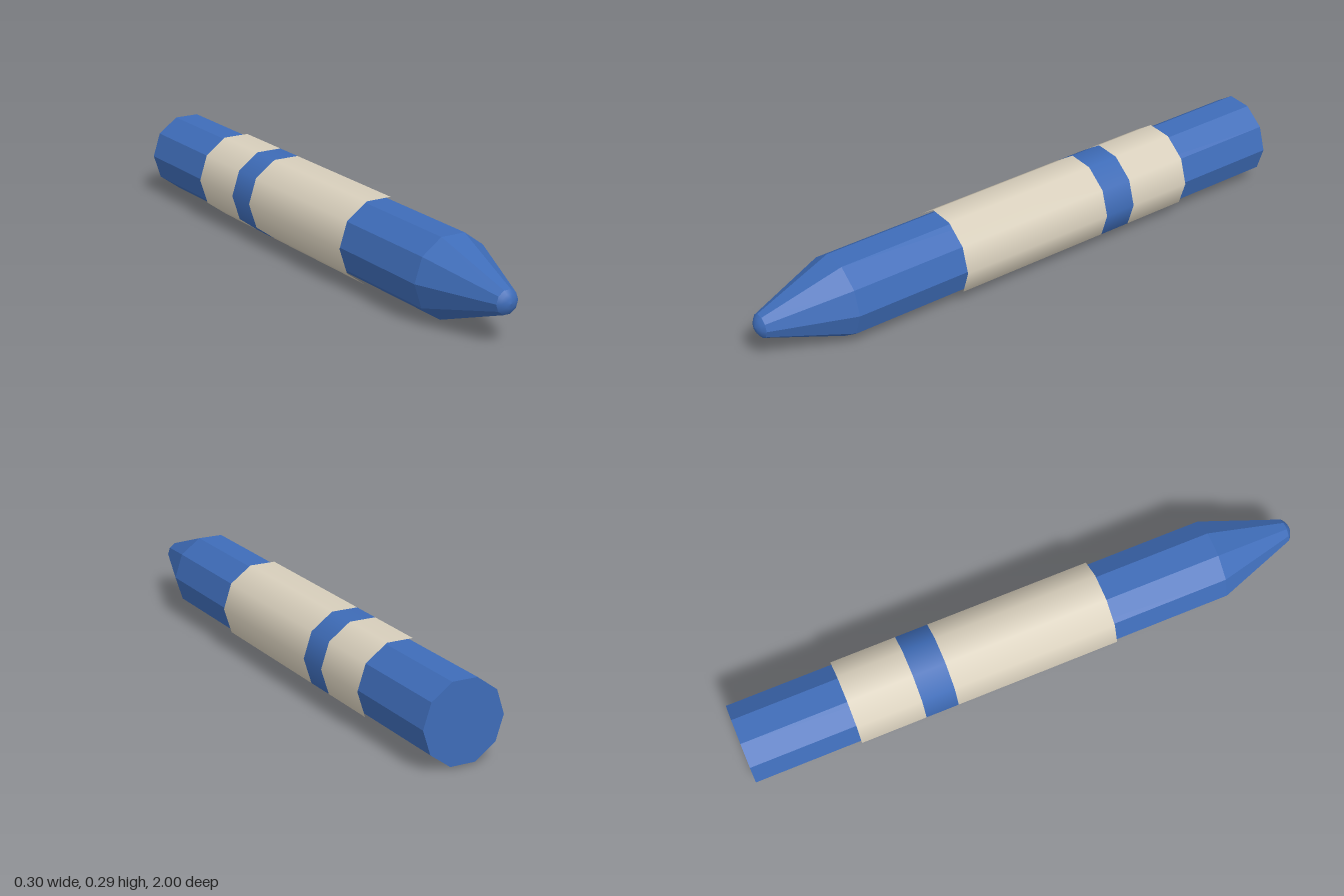
import * as THREE from 'three';

const SIDES = 10;
const AXIS_Y = 0.1435;

export function createModel() {
  const model = new THREE.Group();
  model.name = 'crayon';

  const blue = new THREE.MeshStandardMaterial({ color: 0x3e6cb8 });
  blue.name = 'wax blue';
  const cream = new THREE.MeshStandardMaterial({ color: 0xd9d0bd });
  cream.name = 'paper cream';

  // Lays an upright geometry along z and adds it to the model
  function add(name, geometry, material) {
    geometry.rotateX(Math.PI / 2);
    const mesh = new THREE.Mesh(geometry, material);
    mesh.name = name;
    mesh.position.y = AXIS_Y;
    model.add(mesh);
  }

  // Open ten-sided tube between two z positions, with a corner on the x axis
  function tube(back, front, rBack, rFront) {
    const g = new THREE.CylinderGeometry(rFront, rBack, front - back, SIDES, 1, true, Math.PI / 2);
    return g.translate(0, (back + front) / 2, 0);
  }

  function faceted(geometry) {
    const g = geometry.toNonIndexed();
    g.computeVertexNormals();
    return g;
  }

  // Wax stick: faceted barrel, tapered nose, rounded tip and flat end
  add('barrel', faceted(tube(-1, 0.7, 0.142, 0.142)), blue);
  add('taper', faceted(tube(0.7, 0.98, 0.142, 0.041)), blue);
  const tipProfile = [[0.041, 0.98], [0.03, 0.99], [0.016, 0.997], [0, 1]]
    .map(([r, y]) => new THREE.Vector2(r, y));
  add('tip', new THREE.LatheGeometry(tipProfile, SIDES, Math.PI / 2), blue);
  const end = new THREE.CircleGeometry(0.142, SIDES);
  add('flatEnd', end.rotateX(Math.PI / 2).translate(0, -1, 0), blue);

  // Paper sleeve with one printed band, smoothly shaded
  const R = 0.1505;
  add('sleeveFront', tube(-0.285, 0.29, R, R), cream);
  add('sleeveBand', tube(-0.4, -0.285, R, R), blue);
  add('sleeveBack', tube(-0.63, -0.4, R, R), cream);

  return model;
}
